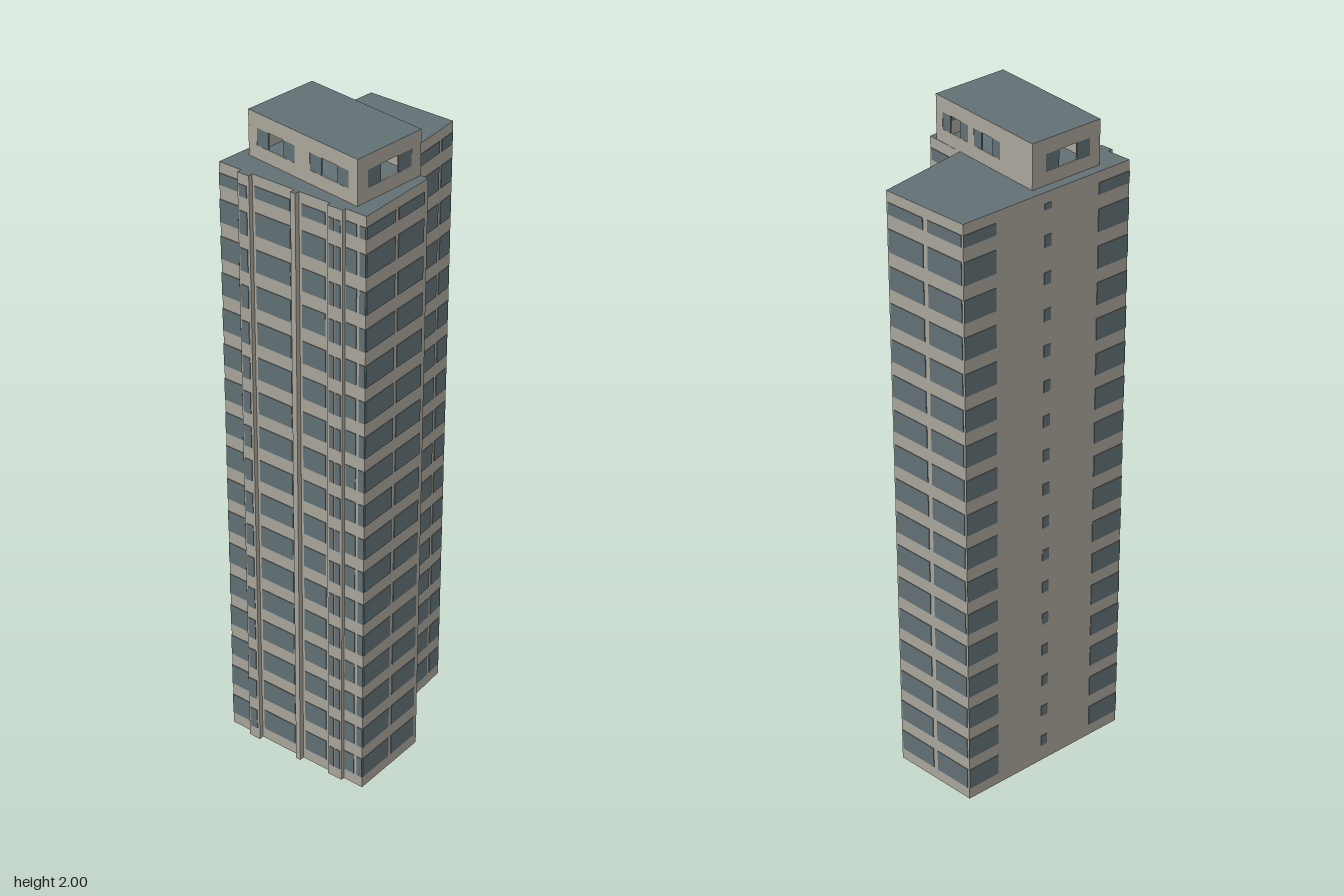
import * as THREE from 'three';
import { mergeGeometries } from 'three/addons/utils/BufferGeometryUtils.js';

const wall = new THREE.MeshStandardMaterial({ color: 0xaaa79b, side: THREE.DoubleSide });
wall.name = 'concrete';
const glass = new THREE.MeshStandardMaterial({ color: 0x627175, side: THREE.DoubleSide });
glass.name = 'slateGlass';

const ROOF = 1.868, TOP = 2, FLOORS = 17, STEP = 0.1102;

// Main corners, clockwise seen from above, as [x, z]
const A = [0.03, -0.34], B = [0.275, -0.22], C = [0.163, 0.045];
const D = [0.267, 0.11], E = [0.152, 0.338], F = [-0.276, 0.13];
// Ribs on the front wall: root, tip, tip, root
const ribs = [
  [[0.093, 0.309], [0.088, 0.319], [0.044, 0.298], [0.049, 0.288]],
  [[-0.04, 0.245], [-0.047, 0.258], [-0.061, 0.251], [-0.054, 0.238]],
  [[-0.177, 0.178], [-0.183, 0.191], [-0.217, 0.175], [-0.21, 0.162]],
];
const plan = [A, B, C, D, E, ...ribs.flat(), F];

function add(group, name, geometry, material) {
  const mesh = new THREE.Mesh(geometry, material);
  mesh.name = name;
  group.add(mesh);
  return mesh;
}

// Vertical prism over a plan outline
function prism(points, y0, y1) {
  const shape = new THREE.Shape(points.map(([x, z]) => new THREE.Vector2(x, -z)));
  return new THREE.ExtrudeGeometry(shape, { depth: y1 - y0, bevelEnabled: false })
    .rotateX(-Math.PI / 2).translate(0, y0, 0);
}

// Moves geometry drawn on the x-y plane onto the wall from p to q; local +z points inwards
function ontoWall(geometry, p, q) {
  return geometry.rotateY(Math.atan2(p[1] - q[1], q[0] - p[0])).translate(p[0], 0, p[1]);
}
const lengthOf = (p, q) => Math.hypot(q[0] - p[0], q[1] - p[1]);

// Thin pane covering the fraction t0..t1 of a wall
function pane(p, q, t0, t1, y0, y1, z = 0) {
  const len = lengthOf(p, q);
  const g = new THREE.BoxGeometry((t1 - t0) * len, y1 - y0, 0.004)
    .translate((t0 + t1) / 2 * len, (y0 + y1) / 2, z);
  return ontoWall(g, p, q);
}

// Penthouse wall with openings
function pierced(p, q, spans, y0, y1, w0, w1) {
  const len = lengthOf(p, q);
  const rect = (S, a, b, c, d) => new S([[a, c], [b, c], [b, d], [a, d]].map(v => new THREE.Vector2(...v)));
  const shape = rect(THREE.Shape, 0, len, y0, y1);
  for (const [a, b] of spans) shape.holes.push(rect(THREE.Path, a * len, b * len, w0, w1));
  return ontoWall(new THREE.ExtrudeGeometry(shape, { depth: 0.005, bevelEnabled: false }), p, q);
}

export function createModel() {
  const model = new THREE.Group();
  model.name = 'towerBlock';

  // Tower body and roof
  add(model, 'towerBody', prism(plan, 0, ROOF - 0.004), wall);
  add(model, 'towerRoof', prism(plan, ROOF - 0.004, ROOF), [glass, wall]);

  // Window bands: wall start, wall end, fractions along it
  const facades = [
    ['backWindows', A, B, [[0.02, 0.46], [0.52, 0.98]]],
    ['rightRearWindows', B, C, [[0.01, 0.19], [0.23, 0.6], [0.64, 0.98]]],
    ['recessWindows', C, D, [[0.08, 0.95]]],
    ['rightFrontWindows', D, E, [[0.06, 0.48], [0.53, 0.99]]],
    ['frontWindows', F, E, [[0, 0.13], [0.25, 0.49], [0.57, 0.73], [0.87, 0.94], [0.96, 1]]],
    ['rightRibWindows', ribs[0][1], ribs[0][2], [[0.12, 0.45], [0.55, 0.88]]],
    ['leftRibWindows', ribs[2][1], ribs[2][2], [[0.2, 0.85]]],
    ['leftWindows', F, A, [[0, 0.19], [0.81, 1]]],
  ];
  for (const [name, p, q, spans] of facades) {
    const panes = [];
    for (let i = 0; i < FLOORS; i++) {
      const y = 0.038 + i * STEP;
      const top = Math.min(y + 0.068, 1.836);
      for (const [t0, t1] of spans) panes.push(pane(p, q, t0, t1, y, top));
    }
    add(model, name, mergeGeometries(panes), glass);
  }

  // Column of small stair windows on the blank left wall
  const slots = [];
  for (let i = 0; i < FLOORS; i++) {
    const y = 0.055 + i * STEP;
    slots.push(pane(F, A, 0.48, 0.52, y, Math.min(y + 0.036, 1.836)));
  }
  add(model, 'stairWindows', mergeGeometries(slots), glass);

  // Penthouse: hollow, each opening glazed at both sides and open in the middle
  const penthouse = new THREE.Group();
  penthouse.name = 'penthouse';
  model.add(penthouse);
  const P = [-0.083, -0.113], Q = [0.245, 0.098], R = [0.12, 0.292], S = [-0.209, 0.078];
  const sides = [
    ['back', P, Q, [[0.33, 0.6], [0.66, 0.93]]],
    ['right', Q, R, [[0.15, 0.84]]],
    ['front', R, S, [[0.08, 0.43], [0.57, 0.92]]],
    ['left', S, P, [[0.15, 0.8]]],
  ];
  for (const [name, p, q, spans] of sides) {
    add(penthouse, name + 'PenthouseWall', pierced(p, q, spans, ROOF, TOP - 0.004, 1.907, 1.957), wall);
    const panes = spans.flatMap(([a, b]) => {
      const w = (b - a) * 0.3;
      return [pane(p, q, a, a + w, 1.907, 1.957, 0.0025), pane(p, q, b - w, b, 1.907, 1.957, 0.0025)];
    });
    add(penthouse, name + 'PenthouseGlass', mergeGeometries(panes), glass);
  }
  add(penthouse, 'penthouseRoof', prism([P, Q, R, S], TOP - 0.004, TOP), [glass, wall]);

  return model;
}
